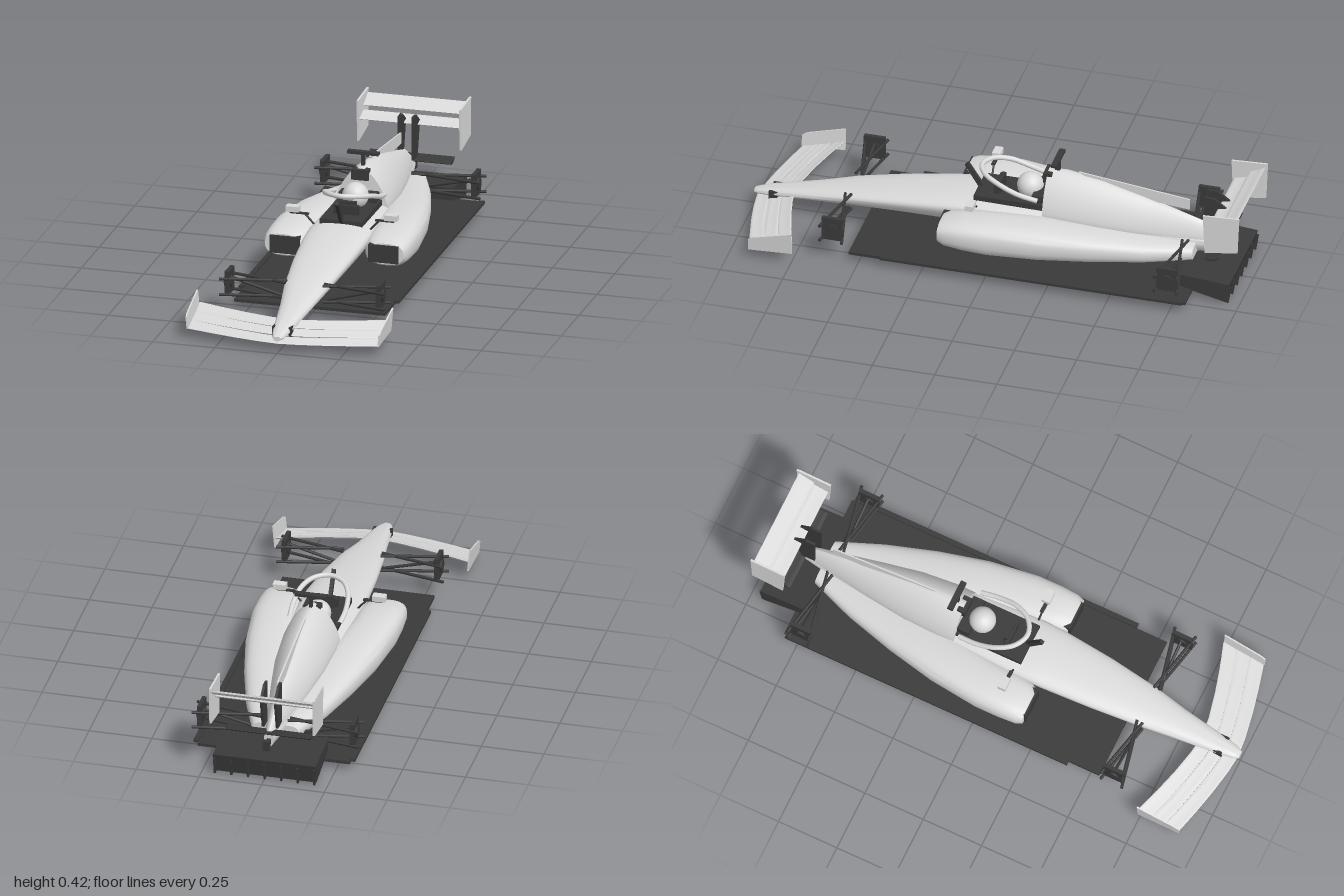
import * as THREE from 'three';
import { toCreasedNormals } from 'three/addons/utils/BufferGeometryUtils.js';

const paint = new THREE.MeshStandardMaterial({ color: 0xdadada });
paint.name = 'pale paint';
const carbon = new THREE.MeshStandardMaterial({ color: 0x3a3a3a });
carbon.name = 'dark carbon';

// Closed skin through equal rings of points, capped at both ends
function skin(rings) {
  const n = rings[0].length, pos = [], idx = [];
  const centre = r => r.reduce((s, p) => s.map((v, k) => v + p[k] / n), [0, 0, 0]);
  rings.forEach(r => r.forEach(p => pos.push(...p)));
  const first = rings.length * n, last = (rings.length - 1) * n;
  pos.push(...centre(rings[0]), ...centre(rings[rings.length - 1]));
  for (let j = 0; j < n; j++) {
    const k = (j + 1) % n;
    for (let i = 0; i < last; i += n) {
      idx.push(i + j, i + n + j, i + k, i + k, i + n + j, i + n + k);
    }
    idx.push(first, j, k, first + 1, last + k, last + j);
  }
  const g = new THREE.BufferGeometry();
  g.setAttribute('position', new THREE.Float32BufferAttribute(pos, 3));
  g.setIndex(idx);
  return toCreasedNormals(g, 0.7);
}

// Body shell along z; rows are [z, halfWidth, widestY, topY, bottomY, centreX]
function shell(rows, pTop, pBottom) {
  const pow = (v, p) => Math.sign(v) * Math.abs(v) ** p;
  return skin(rows.map(([z, w, yw, yt, yb, cx = 0]) => Array.from({ length: 32 }, (_, j) => {
    const a = j / 32 * Math.PI * 2, c = Math.cos(a), s = Math.sin(a), p = s >= 0 ? pTop : pBottom;
    return [cx + w * pow(c, p), yw + (s >= 0 ? yt - yw : yw - yb) * pow(s, p), z];
  })));
}

// Aerofoil along x; stations are [x, leadZ, leadY, trailZ, trailY]
function aerofoil(stations, thick) {
  return skin(stations.map(([x, z0, y0, z1, y1]) => Array.from({ length: 16 }, (_, j) => {
    const a = j / 16 * Math.PI * 2, t = (1 - Math.cos(a)) / 2;
    const camber = -Math.sin(t * Math.PI) * thick * 0.5;
    return [x, y0 + (y1 - y0) * t + Math.sin(a) * thick / 2 + camber, z0 + (z1 - z0) * t];
  })));
}

// Flat plate drawn as [z, y] corners, with thickness along x
function plate(pts, x, t) {
  const shape = new THREE.Shape(pts.map(p => new THREE.Vector2(...p)));
  return new THREE.ExtrudeGeometry(shape, { depth: t, bevelEnabled: false })
    .rotateY(-Math.PI / 2).translate(x + t / 2, 0, 0);
}

// Box from its limits
const block = (x0, x1, y0, y1, z0, z1) => new THREE.BoxGeometry(x1 - x0, y1 - y0, z1 - z0)
  .translate((x0 + x1) / 2, (y0 + y1) / 2, (z0 + z1) / 2);

function rod(a, b, r) {
  const A = new THREE.Vector3(...a), B = new THREE.Vector3(...b), d = B.clone().sub(A);
  const q = new THREE.Quaternion().setFromUnitVectors(new THREE.Vector3(0, 1, 0), d.clone().normalize());
  const mid = A.add(B).multiplyScalar(0.5);
  return new THREE.CylinderGeometry(r, r, d.length(), 10).applyQuaternion(q).translate(mid.x, mid.y, mid.z);
}

export function createModel() {
  const car = new THREE.Group();
  car.name = 'racingCar';
  const add = (name, geometry, material) => {
    const m = new THREE.Mesh(geometry, material);
    m.name = name;
    car.add(m);
  };

  // Nose and main tub
  add('tub', shell([
    [1, 0.016, 0.06, 0.069, 0.05], [0.98, 0.025, 0.062, 0.076, 0.049], [0.93, 0.036, 0.07, 0.09, 0.052],
    [0.74, 0.062, 0.1, 0.128, 0.066], [0.6, 0.086, 0.13, 0.158, 0.074], [0.4, 0.109, 0.16, 0.192, 0.079],
    [0.2, 0.124, 0.182, 0.218, 0.08], [0.1, 0.127, 0.19, 0.227, 0.08], [-0.2, 0.12, 0.185, 0.225, 0.08],
    [-0.5, 0.09, 0.16, 0.2, 0.08], [-0.75, 0.045, 0.14, 0.18, 0.085], [-0.88, 0.02, 0.14, 0.165, 0.1],
  ], 0.85, 1.25), paint);

  // Engine cover and its spine fin
  add('engineCover', shell([
    [-0.18, 0.108, 0.2, 0.362, 0.16], [-0.25, 0.11, 0.2, 0.364, 0.15], [-0.4, 0.1, 0.19, 0.342, 0.14],
    [-0.55, 0.077, 0.175, 0.302, 0.13], [-0.7, 0.05, 0.16, 0.258, 0.12], [-0.8, 0.032, 0.15, 0.228, 0.11],
    [-0.88, 0.018, 0.145, 0.175, 0.11],
  ], 1.3, 1), paint);
  add('spineFin', plate([[-0.3, 0.366], [-0.745, 0.315], [-0.745, 0.27], [-0.4, 0.3]], 0, 0.006), paint);
  add('airIntake', block(-0.034, 0.034, 0.315, 0.357, -0.2, -0.165), carbon);
  add('cameraPost', block(-0.006, 0.006, 0.35, 0.41, -0.225, -0.205), carbon);
  add('cameraBar', block(-0.063, 0.063, 0.406, 0.418, -0.228, -0.204), carbon);

  // Cockpit, driver and head protection
  add('cockpit', block(-0.085, 0.085, 0.19, 0.24, -0.185, 0.1), carbon);
  add('headrest', block(-0.075, 0.075, 0.235, 0.272, -0.18, -0.13), carbon);
  add('steeringWheel', block(-0.05, 0.05, 0.235, 0.277, 0.01, 0.028), carbon);
  add('steeringDisplay', block(-0.036, 0.036, 0.24, 0.29, 0.002, 0.018), carbon);
  add('helmet', new THREE.SphereGeometry(0.052, 28, 18).translate(0, 0.274, -0.105), paint);
  const hoop = [[0.1, 0.268, -0.16], [0.105, 0.288, -0.08], [0.094, 0.316, 0], [0.058, 0.331, 0.062]];
  const hoopPath = [...hoop, [0, 0.335, 0.088], ...hoop.map(([x, y, z]) => [-x, y, z]).reverse()];
  add('headHoop', new THREE.TubeGeometry(
    new THREE.CatmullRomCurve3(hoopPath.map(p => new THREE.Vector3(...p))), 60, 0.01, 12), paint);
  add('hoopPillar', plate([[0.075, 0.23], [0.1, 0.23], [0.157, 0.322], [0.143, 0.333]], 0, 0.014), carbon);

  // Floor, floor edges and diffuser
  add('floor', block(-0.303, 0.303, 0.028, 0.04, -0.81, 0.54), carbon);
  add('diffuser', plate([[-0.76, 0.1], [-0.96, 0.085], [-0.945, 0.008], [-0.76, 0.05]], 0, 0.41), carbon);
  for (let i = -3; i <= 3; i++) {
    add('diffuserStrake', plate([[-0.8, 0.05], [-0.966, 0.07], [-0.955, 0], [-0.8, 0.036]], i * 0.066, 0.008), carbon);
  }

  // Front wing: three swept elements
  const spans = [-0.382, -0.28, -0.18, -0.08, 0, 0.08, 0.18, 0.28, 0.382];
  [[0, 0.35, 0.038, 0.05], [0.35, 0.68, 0.053, 0.066], [0.68, 1, 0.068, 0.086]].forEach(([f0, f1, y0, y1]) => {
    add('frontWingElement', aerofoil(spans.map(x => {
      const s = (Math.abs(x) / 0.382) ** 1.4, lead = 0.992 - 0.075 * s, chord = 0.155 + 0.018 * s;
      return [x, lead - chord * f0, y0, lead - chord * f1, y1 + 0.003 * s];
    }), 0.009), paint);
  });

  // Rear wing: main plane, flap, beam wing, pylons, rear light
  const rearPlane = (name, z0, y0, z1, y1, mat, w = 0.203) =>
    add(name, aerofoil([[-w, z0, y0, z1, y1], [w, z0, y0, z1, y1]], 0.012), mat);
  rearPlane('rearWingMain', -0.865, 0.31, -0.93, 0.327, paint);
  rearPlane('rearWingFlap', -0.925, 0.347, -0.99, 0.378, paint);
  rearPlane('beamWing', -0.85, 0.165, -0.91, 0.176, carbon, 0.17);
  add('rearLight', block(-0.013, 0.013, 0.11, 0.152, -0.93, -0.912), carbon);
  add('rearLightMount', block(-0.008, 0.008, 0.12, 0.14, -0.915, -0.87), carbon);

  for (const s of [1, -1]) {
    // Side pod with its inlet
    add('sidePod', shell([
      [0.195, 0.07, 0.155, 0.197, 0.113, s * 0.208], [0.17, 0.084, 0.155, 0.206, 0.1, s * 0.203],
      [0.1, 0.093, 0.158, 0.215, 0.088, s * 0.198], [0, 0.095, 0.157, 0.22, 0.08, s * 0.195],
      [-0.2, 0.1, 0.15, 0.212, 0.076, s * 0.165], [-0.4, 0.096, 0.14, 0.19, 0.076, s * 0.124],
      [-0.6, 0.08, 0.125, 0.166, 0.08, s * 0.082], [-0.78, 0.048, 0.118, 0.148, 0.088, s * 0.045],
    ], 0.75, 0.75), paint);
    add('sideInlet', block(-0.06, 0.06, 0.12, 0.191, 0.15, 0.203).translate(s * 0.198, 0, 0), carbon);
    add('floorEdge', block(-0.01, 0.01, 0.036, 0.047, -0.8, 0.41).translate(s * 0.312, 0, 0), carbon);

    // Mirror on its stalk
    add('mirror', block(-0.026, 0.026, 0.255, 0.277, 0.065, 0.098).translate(s * 0.198, 0, 0), paint);
    add('mirrorStalk', block(-0.038, 0.038, 0.247, 0.252, 0.075, 0.09).translate(s * 0.172, 0, 0), carbon);
    add('mirrorBracket', rod([s * 0.11, 0.205, 0.08], [s * 0.15, 0.25, 0.083], 0.004), carbon);

    // Wing end plates and pylons
    add('frontEndPlate', plate([[0.92, 0.085], [0.9, 0.098], [0.745, 0.14], [0.745, 0.047], [0.92, 0.037]], 0, 0.006)
      .rotateZ(-s * 0.09).translate(s * 0.38, 0, 0), paint);
    add('nosePylon', block(-0.005, 0.005, 0.043, 0.086, 0.9, 0.935).translate(s * 0.033, 0, 0), carbon);
    add('rearEndPlate', plate([[-0.855, 0.388], [-1, 0.395], [-0.993, 0.24], [-0.862, 0.22]], s * 0.206, 0.008), paint);
    add('rearPylon', plate([[-0.81, 0.18], [-0.81, 0.355], [-0.85, 0.355], [-0.9, 0.318], [-0.865, 0.18]], s * 0.028, 0.01), carbon);

    // Suspension, same layout front and rear
    for (const [name, z, inner] of [['front', 0.605, 0.075], ['rear', -0.738, 0.04]]) {
      add(name + 'Upright', block(-0.008, 0.008, 0.088, 0.185, z - 0.042, z + 0.042).translate(s * 0.304, 0, 0), carbon);
      add(name + 'Hub', rod([s * 0.29, 0.137, z], [s * 0.32, 0.137, z], 0.024), carbon);
      for (const d of [1, -1]) {
        for (const y of [0.156, 0.092]) {
          add(name + 'Wishbone', rod([s * 0.333, y, z + d * 0.045], [s * inner, y - 0.002, z - d * 0.012], 0.006), carbon);
        }
      }
      add(name + 'Pushrod', rod([s * 0.3, 0.153, z], [s * inner, 0.093, z], 0.006), carbon);
    }
  }
  return car;
}
